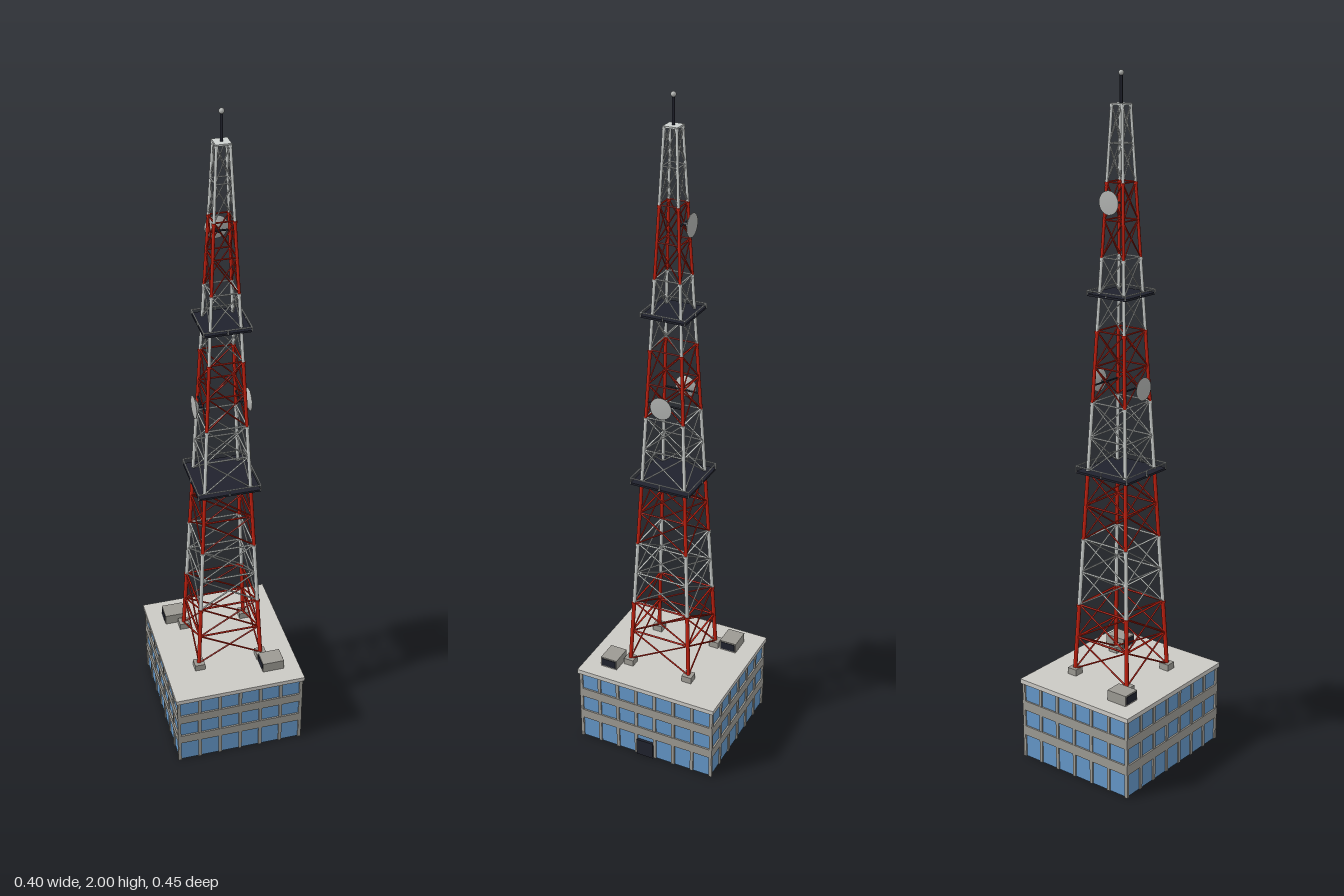
import * as THREE from 'three';
import { mergeGeometries } from 'three/addons/utils/BufferGeometryUtils.js';

const mat = (name, color) => Object.assign(new THREE.MeshStandardMaterial({ color }), { name });
const V = (x, y, z) => new THREE.Vector3(x, y, z);

// Tower proportions
const BASE = 0.27, BAY = 0.1026, BAYS = 16;
const half = (y) => 0.0975 - (y - BASE) * 0.0485;
const levelY = (n) => BASE + n * BAY;
const CORNERS = [[1, 1], [1, -1], [-1, -1], [-1, 1]];
const corner = (i, y) => V(CORNERS[i % 4][0] * half(y), y, CORNERS[i % 4][1] * half(y));

const box = (w, h, d, x, y, z) => new THREE.BoxGeometry(w, h, d).translate(x, y, z);

// Round bar between two points
function bar(a, b, r, sides = 6) {
  const dir = b.clone().sub(a);
  const g = new THREE.CylinderGeometry(r, r, dir.length(), sides);
  g.applyQuaternion(new THREE.Quaternion().setFromUnitVectors(V(0, 1, 0), dir.clone().normalize()));
  const m = a.clone().add(b).multiplyScalar(0.5);
  return g.translate(m.x, m.y, m.z);
}

export function createModel() {
  const root = new THREE.Group();
  root.name = 'radioTower';
  const glass = mat('windowGlass', 0x6497c8);
  const concrete = mat('concrete', 0x9c9a93);
  const roofMat = mat('roofLightGrey', 0xcbc9c4);
  const red = mat('signalRed', 0xc4200f);
  const white = mat('paleSteel', 0xced2d0);
  const dark = mat('darkSteel', 0x20222d);
  const dishMat = mat('dishGrey', 0xb0b2b0);

  const add = (name, parts, material, parent = root) => {
    const mesh = new THREE.Mesh(mergeGeometries([].concat(parts)), material);
    mesh.name = name;
    parent.add(mesh);
    return mesh;
  };

  // Building: glass core, floor bands, mullions, roof slab
  const building = new THREE.Group();
  building.name = 'building';
  root.add(building);
  add('glassCore', box(0.384, 0.245, 0.436, 0, 0.1225, 0), glass, building);
  add('floorBands', [0.087, 0.169].map((y) => box(0.394, 0.03, 0.446, 0, y, 0)), concrete, building);
  const mullions = [];
  for (let i = 0; i <= 6; i++) {
    const x = -0.192 + i * 0.064;
    for (const s of [1, -1]) mullions.push(box(0.01, 0.243, 0.008, x, 0.1215, s * 0.218));
  }
  for (let i = 0; i <= 7; i++) {
    const z = -0.218 + i * 0.436 / 7;
    for (const s of [1, -1]) mullions.push(box(0.008, 0.243, 0.01, s * 0.192, 0.1215, z));
  }
  add('mullions', mullions, concrete, building);
  add('roofSlab', box(0.402, 0.014, 0.454, 0, 0.247, 0), roofMat, building);
  add('door', box(0.012, 0.055, 0.055, 0.194, 0.0275, 0), dark, building);

  // Rooftop cooling units with dark louvres on both ends
  for (const s of [1, -1]) {
    const unit = new THREE.Group();
    unit.name = 'coolingUnit';
    unit.position.set(s * 0.118, 0.254, s * 0.145);
    add('unitCase', box(0.066, 0.032, 0.053, 0, 0.016, 0), concrete, unit);
    add('unitLouvres', [1, -1].map((e) => box(0.003, 0.024, 0.045, e * 0.033, 0.016, 0)), dark, unit);
    root.add(unit);
  }

  // Footings under the four legs
  add('legFootings', CORNERS.map(([x, z]) => box(0.031, 0.022, 0.031, x * 0.0975, 0.263, z * 0.0975)), concrete);

  // Lattice tower: alternating red and pale bands, two bays each
  for (let band = 0; band < BAYS / 2; band++) {
    const section = new THREE.Group();
    section.name = 'towerSection' + (band + 1);
    root.add(section);
    const colour = band % 2 ? white : red;
    const legs = [], beams = [], braces = [];
    const y0 = levelY(band * 2), y2 = levelY(band * 2 + 2);
    const k = 1 - band * 0.045;
    for (let i = 0; i < 4; i++) {
      legs.push(bar(corner(i, y0), corner(i, y2), 0.0062 * k, 8));
      const c = corner(i, y2);
      legs.push(new THREE.CylinderGeometry(0.0085 * k, 0.0085 * k, 0.007, 8).translate(c.x, c.y - 0.0035, c.z));
      for (let b = 0; b < 2; b++) {
        const lo = levelY(band * 2 + b), hi = lo + BAY;
        beams.push(bar(corner(i, hi), corner(i + 1, hi), 0.003 * k));
        braces.push(bar(corner(i, lo), corner(i + 1, hi), 0.0025 * k));
        braces.push(bar(corner(i + 1, lo), corner(i, hi), 0.0025 * k));
      }
    }
    add('legs', legs, colour, section);
    add('crossBeams', beams, colour, section);
    add('braces', braces, colour, section);
  }

  // Service platforms with handrails
  for (const [level, railHeight] of [[6, 0.018], [11, 0.012]]) {
    const platform = new THREE.Group();
    platform.name = 'platform';
    const y = levelY(level), r = half(y) + 0.024;
    platform.position.y = y;
    root.add(platform);
    add('deck', box(2 * r, 0.006, 2 * r, 0, 0, 0), dark, platform);
    const rails = [];
    for (let i = 0; i < 4; i++) {
      const [ax, az] = CORNERS[i], [bx, bz] = CORNERS[(i + 1) % 4];
      const a = V(ax * r, railHeight, az * r), b = V(bx * r, railHeight, bz * r);
      rails.push(bar(a, b, 0.0018));
      for (const t of [0, 0.5]) {
        const p = a.clone().lerp(b, t);
        rails.push(bar(V(p.x, 0, p.z), p, 0.0018));
      }
    }
    add('handrail', rails, white, platform);
  }

  // Dish antennas: shallow flared drums on short arms, facing outward
  for (const [y, turn] of [[1.14, Math.PI / 2], [1.14, -Math.PI / 2], [1.655, Math.PI]]) {
    const dish = new THREE.Group();
    dish.name = 'dishAntenna';
    dish.position.y = y;
    dish.rotation.y = turn;
    const h = half(y);
    const profile = [[0, 0], [0.012, 0], [0.033, 0.011], [0.033, 0.013], [0, 0.013]];
    const drum = new THREE.LatheGeometry(profile.map(([x, t]) => new THREE.Vector2(x, t)), 20);
    drum.rotateX(Math.PI / 2).translate(0, 0, h + 0.012);
    add('dishDrum', drum, dishMat, dish);
    add('dishArm', [
      bar(V(0, 0, h - 0.004), V(0, 0, h + 0.014), 0.005, 8),
      bar(V(-h, 0, h), V(h, 0, h), 0.0025),
    ], dark, dish);
    root.add(dish);
  }

  // Top cap, mast and beacon
  const top = levelY(BAYS), t = half(top);
  add('topCap', box(2 * t + 0.006, 0.005, 2 * t + 0.006, 0, top, 0), white);
  add('mast', bar(V(0, top, 0), V(0, 1.99, 0), 0.0042, 8), dark);
  add('beacon', new THREE.SphereGeometry(0.0075, 12, 8).translate(0, 1.9925, 0), dishMat);

  return root;
}
